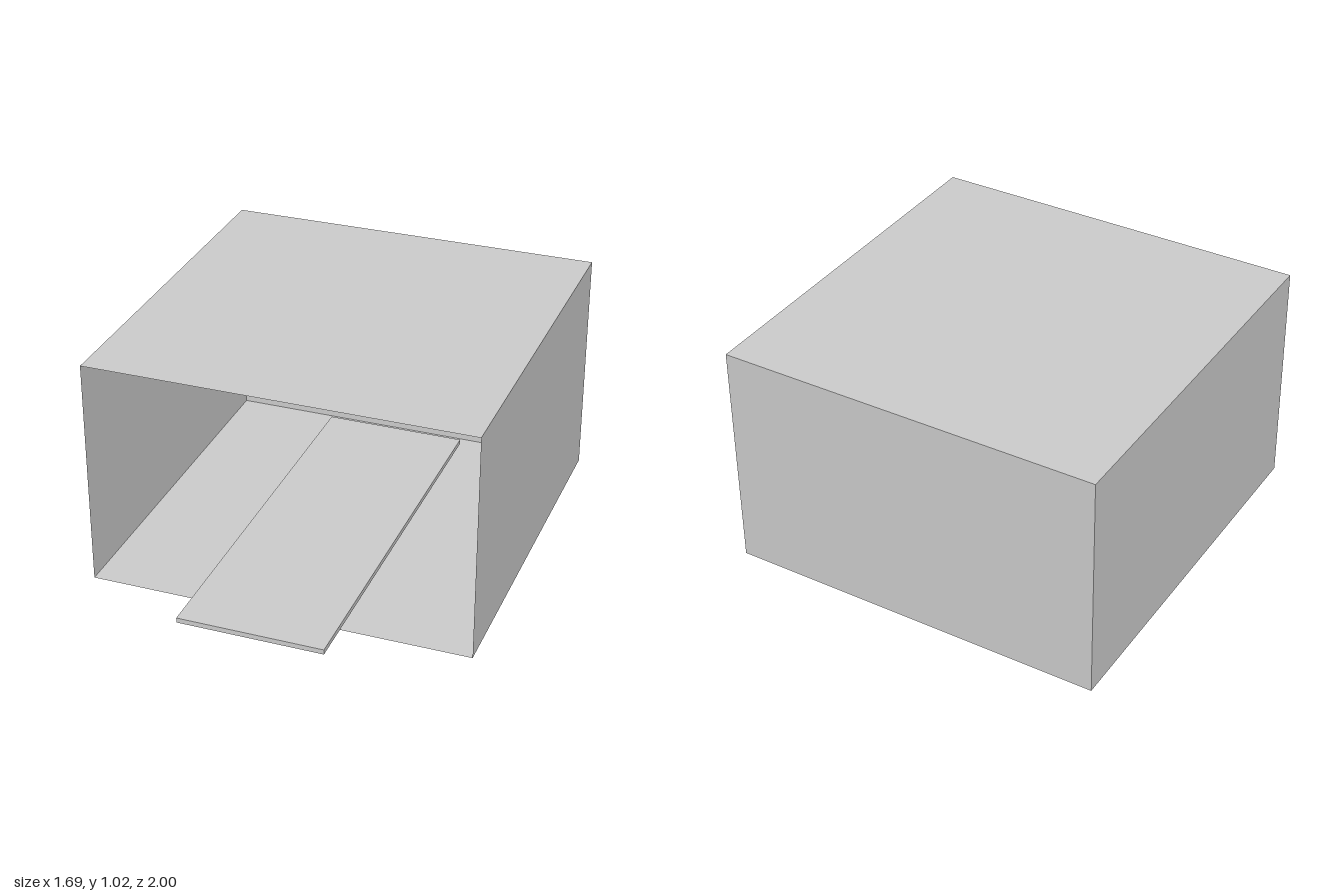
import * as THREE from 'three';

export function createModel() {
  const group = new THREE.Group();
  const material = new THREE.MeshStandardMaterial({ color: 0xcccccc, flatShading: true });
  const sheet = new THREE.MeshStandardMaterial({ color: 0xcccccc, flatShading: true, side: THREE.DoubleSide });

  const W = 1.69, H = 1.02, front = 0.695, back = -1;
  const D = front - back, midZ = (front + back) / 2;

  const addPanel = (name, w, h, position, rotation) => {
    const mesh = new THREE.Mesh(new THREE.PlaneGeometry(w, h), sheet);
    mesh.name = name;
    mesh.position.set(...position);
    mesh.rotation.set(...rotation);
    group.add(mesh);
  };

  // Thin-walled shell, open at the front
  addPanel('floor', W, D, [0, 0, midZ], [Math.PI / 2, 0, 0]);
  addPanel('roof', W, D, [0, H, midZ], [-Math.PI / 2, 0, 0]);
  addPanel('backWall', W, H, [0, H / 2, back], [0, Math.PI, 0]);
  for (const [name, s] of [['leftWall', 1], ['rightWall', -1]]) {
    addPanel(name, D, H, [s * W / 2, H / 2, midZ], [0, s * Math.PI / 2, 0]);
  }

  // Flat board inside, sticking out of the opening
  const board = new THREE.Mesh(new THREE.BoxGeometry(0.64, 0.022, 1.8), material);
  board.name = 'board';
  board.position.set(0, 0.102, 0.1);
  group.add(board);

  return group;
}
